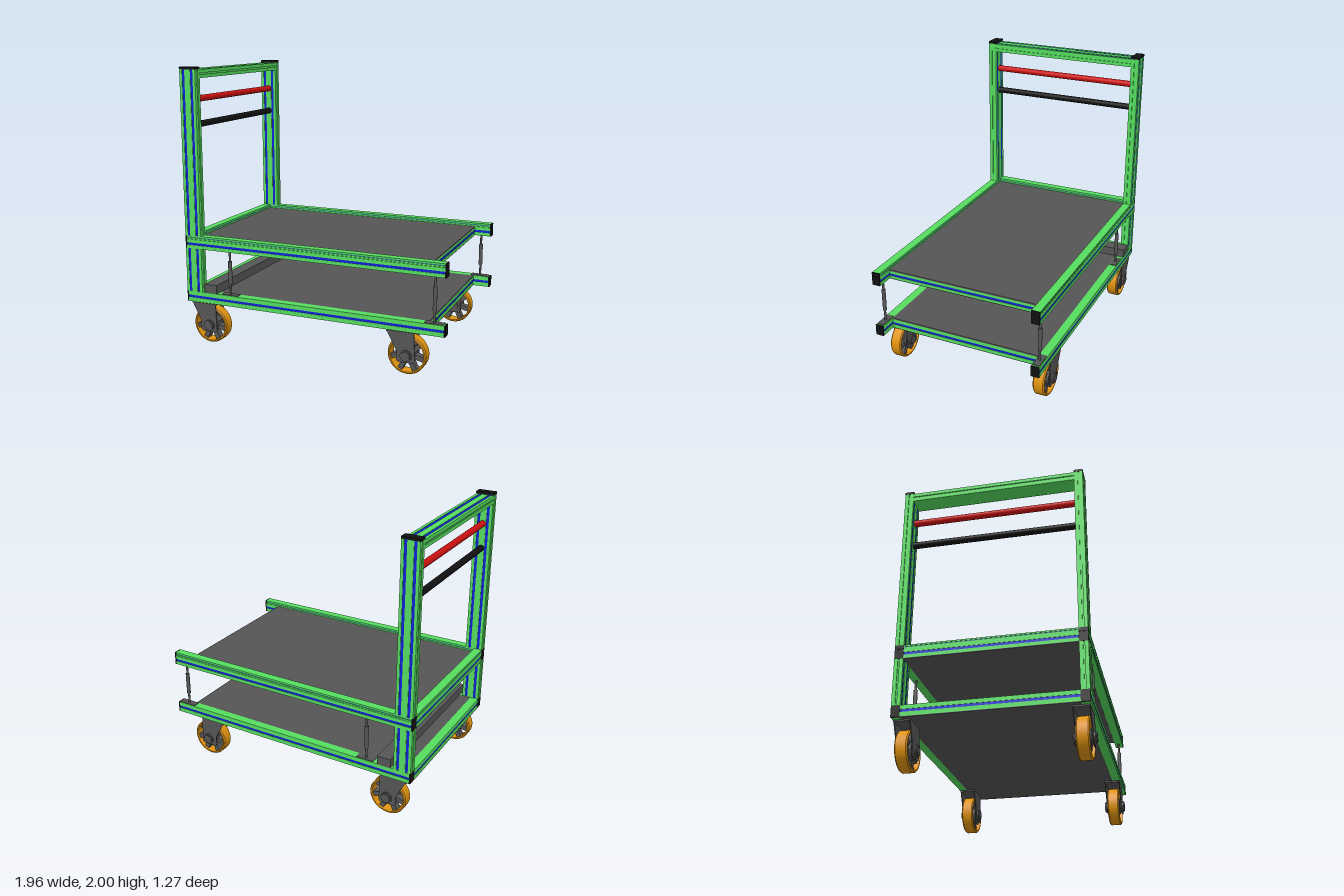
import * as THREE from 'three';

const mat = (color, opts = {}) => new THREE.MeshStandardMaterial({ color, ...opts });
const GREEN = mat(0x55dd5f), BLUE = mat(0x1020d8), BLACK = mat(0x111111), GREY = mat(0x555555);
const RED = mat(0xcc1111), ORANGE = mat(0xe0930f), TEAL = mat(0x2f7f86);
const AXES = { x: new THREE.Vector3(1, 0, 0), y: new THREE.Vector3(0, 1, 0), z: new THREE.Vector3(0, 0, 1) };

function add(parent, name, geometry, material, x = 0, y = 0, z = 0) {
  const mesh = new THREE.Mesh(geometry, material);
  mesh.name = name;
  mesh.position.set(x, y, z);
  parent.add(mesh);
  return mesh;
}

// Box given by its limits
function box(parent, name, material, [x0, x1], [y0, y1], [z0, z1]) {
  return add(parent, name, new THREE.BoxGeometry(x1 - x0, y1 - y0, z1 - z0), material,
    (x0 + x1) / 2, (y0 + y1) / 2, (z0 + z1) / 2);
}

// Slotted aluminium profile: w along wAxis, length along lAxis, slots on the faces across h
function profile(parent, name, { w, h, length, wAxis, lAxis, at, slots = [0], slotW = 0.018, strip = BLUE, under = true, sideSlot = false }) {
  const d = 0.007, a = w / 2, b = h / 2, s = slotW / 2, pts = [[-a, -b]];
  for (const c of under ? slots : []) pts.push([c - s, -b], [c - s, -b + d], [c + s, -b + d], [c + s, -b]);
  pts.push([a, -b]);
  if (sideSlot) pts.push([a, -0.005], [a - d, -0.005], [a - d, 0.005], [a, 0.005]);
  pts.push([a, b]);
  for (const c of [...slots].reverse()) pts.push([c + s, b], [c + s, b - d], [c - s, b - d], [c - s, b]);
  pts.push([-a, b]);
  if (sideSlot) pts.push([-a, 0.005], [-a + d, 0.005], [-a + d, -0.005], [-a, -0.005]);
  const shape = new THREE.Shape(pts.map(p => new THREE.Vector2(...p)));
  const g = new THREE.Group();
  g.name = name;
  const body = new THREE.ExtrudeGeometry(shape, { depth: length, bevelEnabled: false });
  add(g, name + 'Body', body.translate(0, 0, -length / 2), GREEN);
  for (const c of slots) for (const side of under ? [1, -1] : [1]) {
    add(g, name + 'SlotStrip', new THREE.BoxGeometry(slotW, 0.006, length - 0.002), strip, c, side * (b - 0.006), 0);
  }
  const X = AXES[wAxis], Z = AXES[lAxis], Y = new THREE.Vector3().crossVectors(Z, X);
  g.quaternion.setFromRotationMatrix(new THREE.Matrix4().makeBasis(X, Y, Z));
  g.position.set(...at);
  parent.add(g);
}

// Pair of side rails with end caps
function sideRails(parent, name, y0, y1, opts = {}) {
  for (const s of [-1, 1]) {
    profile(parent, name, { w: y1 - y0, h: 0.06, length: 1.934, wAxis: 'y', lAxis: 'x', at: [0, (y0 + y1) / 2, s * 0.595], ...opts });
    for (const e of [-1, 1]) {
      add(parent, name + 'EndCap', new THREE.BoxGeometry(0.01, y1 - y0, 0.06), BLACK, e * 0.972, (y0 + y1) / 2, s * 0.595);
    }
  }
}

function crossRail(parent, name, x, y0, y1, opts = {}) {
  profile(parent, name, { w: y1 - y0, h: 0.06, length: 1.13, wAxis: 'y', lAxis: 'z', at: [x, (y0 + y1) / 2, 0], ...opts });
}

// Platform: side rails, cross rails and panels
function platform(name, y0, y1) {
  const g = new THREE.Group();
  g.name = name;
  sideRails(g, 'sideRail', y0, y1);
  crossRail(g, 'frontCrossRail', 0.82, y0 + 0.003, y1 - 0.01);
  crossRail(g, 'rearCrossRail', -0.947, y0 + 0.003, y1);
  box(g, 'deckPanel', GREY, [-0.917, 0.85], [y1 - 0.01, y1], [-0.565, 0.565]);
  box(g, 'undersidePanel', GREY, [-0.977, 0.85], [y0 - 0.002, y0 + 0.003], [-0.565, 0.565]);
  return g;
}

function cylinder(parent, name, r, length, axis, material, x, y, z, sides = 24) {
  const geo = new THREE.CylinderGeometry(r, r, length, sides);
  if (axis === 'z') geo.rotateX(Math.PI / 2);
  return add(parent, name, geo, material, x, y, z);
}

// Caster centred on its axle
function caster() {
  const g = new THREE.Group();
  g.name = 'caster';
  const tyre = [[0.119, -0.042], [0.128, -0.042], [0.135, -0.034], [0.135, 0.034], [0.128, 0.042], [0.119, 0.042], [0.119, -0.042]];
  // Each profile edge is its own lathe, so corners stay sharp
  for (let i = 0; i < tyre.length - 1; i++) {
    const edge = [tyre[i], tyre[i + 1]].map(p => new THREE.Vector2(...p));
    add(g, 'tyre', new THREE.LatheGeometry(edge, 48).rotateX(Math.PI / 2), ORANGE);
  }
  cylinder(g, 'hub', 0.055, 0.08, 'z', GREY, 0, 0, 0, 32);
  for (let i = 0; i < 7; i++) {
    const a = -Math.PI / 2 + (i + 0.5) * Math.PI * 2 / 7;
    const spoke = add(g, 'spoke', new THREE.BoxGeometry(0.08, 0.034, 0.05), GREY, Math.cos(a) * 0.081, Math.sin(a) * 0.081, 0);
    spoke.rotation.z = a;
  }
  // Fork cheeks
  const cheek = new THREE.Shape();
  cheek.moveTo(-0.14, 0.163);
  cheek.lineTo(-0.07, 0.03);
  cheek.lineTo(-0.07, -0.03);
  cheek.quadraticCurveTo(-0.065, -0.05, -0.045, -0.05);
  cheek.lineTo(0.04, -0.05);
  cheek.quadraticCurveTo(0.06, -0.05, 0.06, -0.03);
  cheek.lineTo(0.055, 0.163);
  const cheekGeo = new THREE.ExtrudeGeometry(cheek, { depth: 0.006, bevelEnabled: false, curveSegments: 6 });
  for (const s of [-1, 1]) {
    add(g, 'forkCheek', cheekGeo, GREY, 0, 0, s * 0.052 - 0.003);
    cylinder(g, 'axleWasher', 0.04, 0.012, 'z', GREY, 0, 0, s * 0.06);
    cylinder(g, 'axleNut', 0.034, 0.014, 'z', GREY, 0, 0, s * 0.066, 6);
  }
  box(g, 'forkTop', GREY, [-0.14, 0.055], [0.153, 0.163], [-0.055, 0.055]);
  return g;
}

export function createModel() {
  const model = new THREE.Group();
  model.name = 'platformTrolley';

  // Two platforms, the upper one edged by a slim rail
  model.add(platform('lowerPlatform', 0.305, 0.383), platform('upperPlatform', 0.705, 0.772));
  const slim = { strip: TEAL, slotW: 0.008 };
  sideRails(model, 'edgeRail', 0.774, 0.8, slim);
  crossRail(model, 'rearEdgeRail', -0.947, 0.772, 0.8, slim);

  // Posts in two lengths, and top caps
  const wide = { w: 0.127, h: 0.06, slots: [-0.033, 0.033], slotW: 0.02, sideSlot: true };
  for (const s of [-1, 1]) {
    for (const [name, y0, y1] of [['lowerPost', 0.383, 0.705], ['handlePost', 0.8, 1.985]]) {
      profile(model, name, { ...wide, length: y1 - y0, wAxis: 'x', lAxis: 'y', at: [-0.9135, (y0 + y1) / 2, s * 0.595] });
    }
    add(model, 'postCap', new THREE.BoxGeometry(0.13, 0.016, 0.062), BLACK, -0.9135, 1.992, s * 0.595);
  }

  // Top bar and handle bars
  profile(model, 'topBar', { ...wide, under: false, length: 1.13, wAxis: 'x', lAxis: 'z', at: [-0.9135, 1.952, 0] });
  cylinder(model, 'redHandle', 0.023, 1.13, 'z', RED, -0.9135, 1.773, 0);
  cylinder(model, 'blackHandle', 0.023, 1.13, 'z', BLACK, -0.9135, 1.592, 0);

  // Box lying across the lower rails
  box(model, 'crossBox', GREY, [-0.83, -0.73], [0.384, 0.448], [-0.63, 0.625]);

  // Tie rods between the platforms, and casters
  for (const s of [-1, 1]) {
    for (const x of [-0.63, 0.895]) {
      cylinder(model, 'tieRod', 0.008, 0.322, 'y', GREY, x, 0.544, s * 0.595, 16);
      cylinder(model, 'turnbuckle', 0.014, 0.165, 'y', GREY, x, 0.55, s * 0.595, 16);
      add(model, 'rodBase', new THREE.BoxGeometry(0.13, 0.006, 0.05), GREY, x, 0.385, s * 0.595);
    }
    for (const x of [-0.803, 0.709]) {
      const c = caster();
      c.position.set(x, 0.14, s * 0.562);
      model.add(c);
    }
  }
  // Stand the wheels on the ground
  for (const c of model.children) if (c.name === 'caster') c.position.y = 0.137;
  return model;
}
